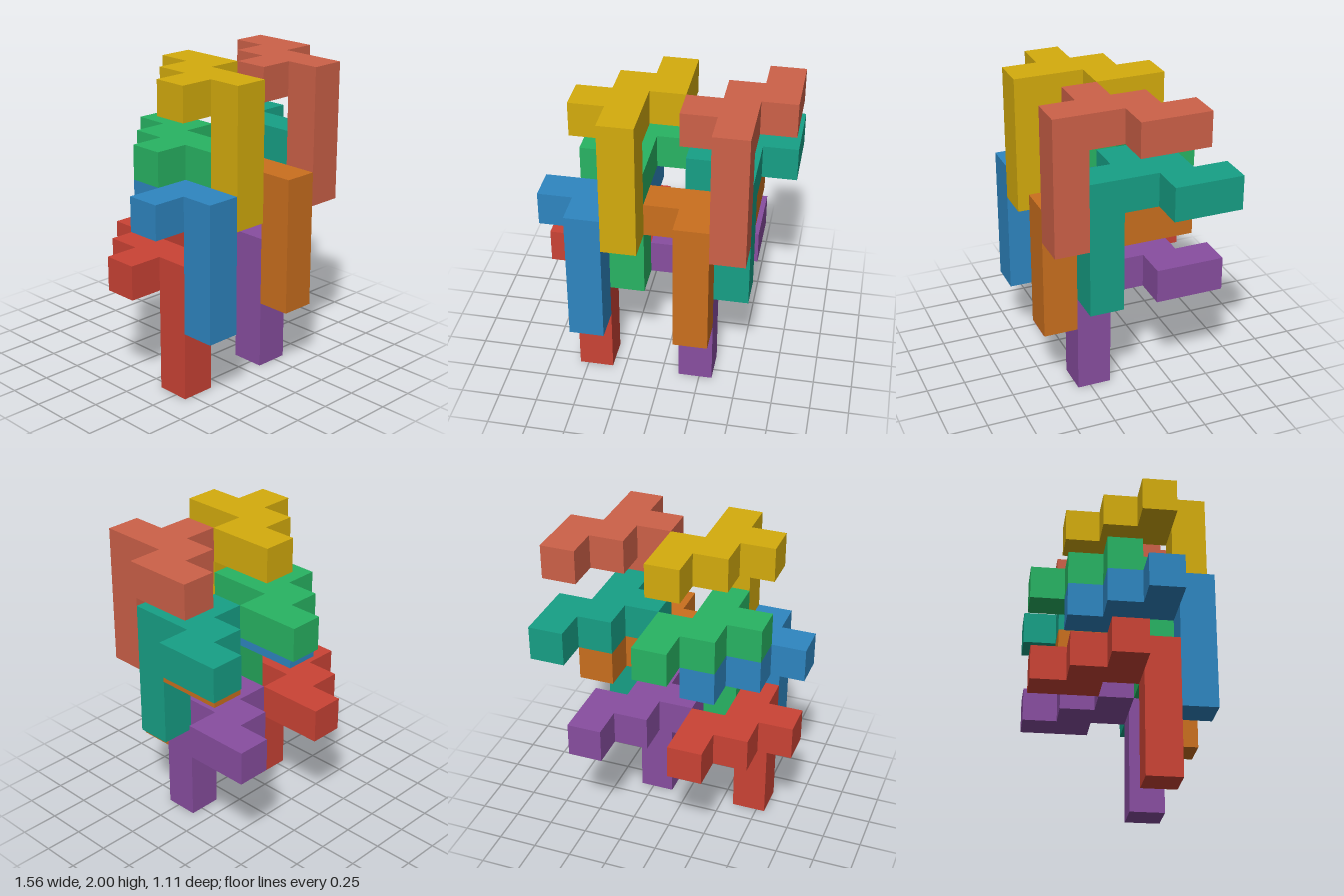
import * as THREE from 'three';

const U = 2 / 9; // edge of one cube cell

// Flat stepped plate, seen from above; origin at the front corner of its leg cell
const OUTLINE = [[0, 0], [1, 0], [1, 2], [2, 2], [2, 4], [1, 4], [1, 3], [0, 3], [0, 2], [-1, 2], [-1, 1], [0, 1]];

// name, colour, cell column (x), cell level of the plate (y), cell row of the leg (z)
const PIECES = [
  ['redPiece', 0xcb4335, 1, 3, 3],
  ['purplePiece', 0x884ea0, 4, 3, 3],
  ['bluePiece', 0x2e86c1, 1, 5, 4],
  ['orangePiece', 0xca6f1e, 4, 5, 4],
  ['greenPiece', 0x28b463, 2, 6, 3],
  ['tealPiece', 0x17a086, 5, 6, 3],
  ['yellowPiece', 0xd4ac0d, 2, 8, 4],
  ['salmonPiece', 0xcd6148, 5, 8, 4],
];

function createPiece(name, color, column, level, row) {
  const piece = new THREE.Group();
  piece.name = name;
  const material = new THREE.MeshStandardMaterial({ color });

  // Stepped plate, one cell thick
  const shape = new THREE.Shape(OUTLINE.map(([x, y]) => new THREE.Vector2(x * U, y * U)));
  const plateGeometry = new THREE.ExtrudeGeometry(shape, { depth: U, bevelEnabled: false });
  plateGeometry.rotateX(-Math.PI / 2);
  const plate = new THREE.Mesh(plateGeometry, material);
  plate.name = 'plate';

  // Leg hanging three cells below the front cell
  const leg = new THREE.Mesh(new THREE.BoxGeometry(U, 3 * U, U), material);
  leg.name = 'leg';
  leg.position.set(U / 2, -1.5 * U, -U / 2);

  piece.add(plate, leg);
  piece.position.set((column - 3.5) * U, level * U, (row - 1.5) * U);
  return piece;
}

export function createModel() {
  const model = new THREE.Group();
  model.name = 'interlockingPieces';
  for (const piece of PIECES) model.add(createPiece(...piece));
  return model;
}
